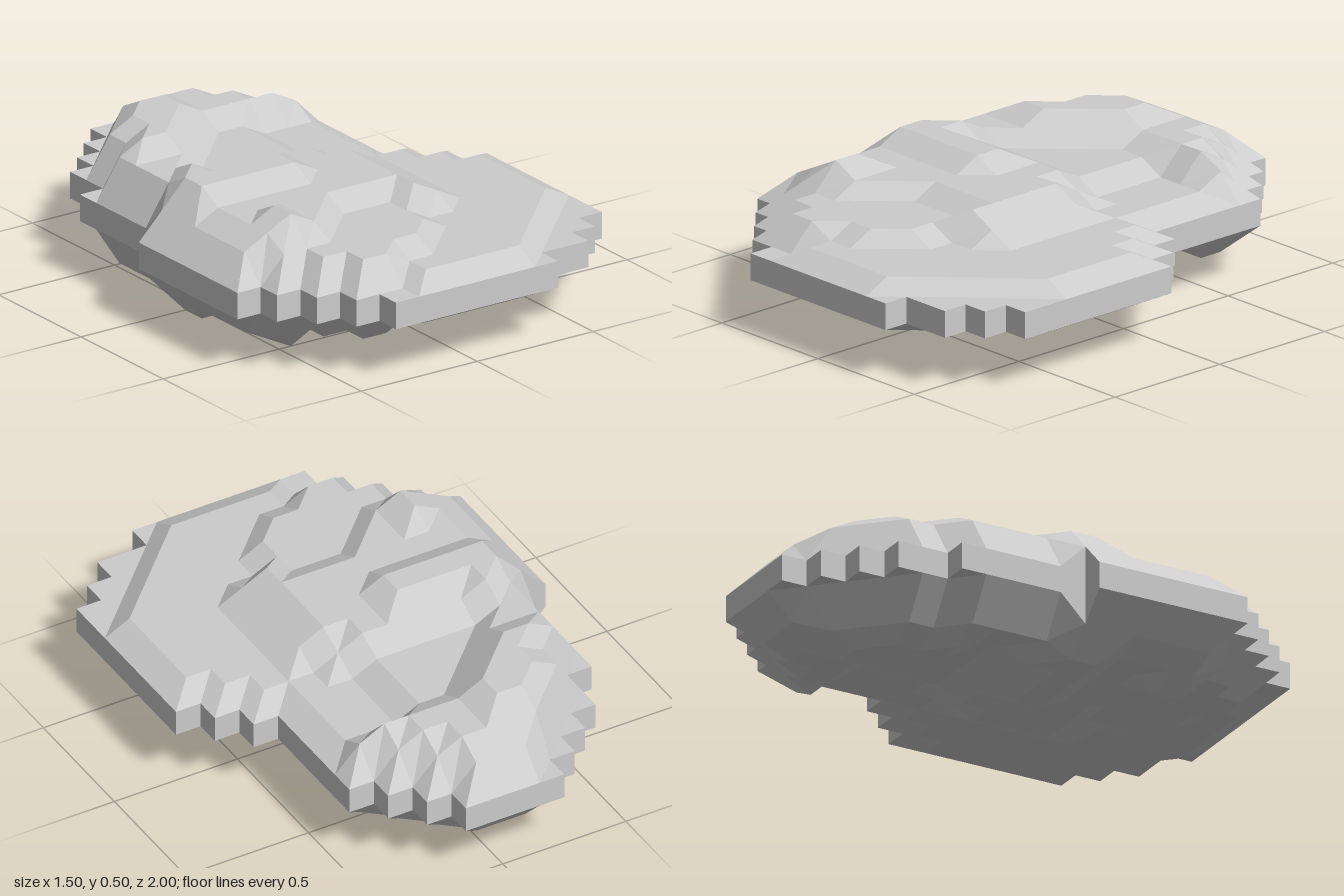
import * as THREE from 'three';

const CELL = 0.1, STEP = 0.05, MID = 0.25, RIM = 0.3;

// Plan outline: first and last grid line of each row of cells, back to front.
const OUTLINE = [
  [5, 9], [4, 10], [3, 11], [2, 12], [2, 12], [1, 12], [1, 12], [1, 12], [1, 13], [1, 14],
  [0, 15], [0, 15], [0, 15], [0, 15], [0, 15], [0, 15], [1, 15], [2, 14], [3, 13], [4, 11],
];

// Stacked terraces: each raises the surface one step over a span of grid points per row.
const TERRACES = [
  { row: 1, spans: [[6, 8], [5, 9], [4, 10], [3, 11], [3, 11], [2, 11], [2, 11], [2, 11], [2, 12], [1, 13],
    [1, 14], [1, 14], [1, 14], [1, 14], [1, 14], [2, 13], [3, 12], [4, 11], [6, 10]] },
  { row: 1, spans: [[6, 8], [5, 9], [4, 10], [3, 11], [3, 8], [2, 8], [2, 8], [2, 8], [2, 9], [1, 10],
    [1, 10], [1, 10], [1, 10], [1, 10], [1, 8], [2, 8], [3, 7], [4, 5]] },
  { row: 2, spans: [[5, 8], [4, 9], [3, 10], [3, 6], [2, 5], [2, 4], [2, 3], [2, 8], [2, 9], [2, 9],
    [2, 9], [2, 9], [2, 5], [2, 4]] },
  { row: 3, spans: [[5, 6], [4, 6], [4, 5], [3, 4]] },  // back summit
  { row: 9, spans: [[3, 3], [2, 6], [2, 6]] },          // middle summit
  { row: 14, spans: [[3, 3], [3, 3]] },                 // front summit
  { row: 14, spans: [[9, 9]] },                         // small spur
];

const inside = (i, j) => {
  const span = OUTLINE[j];
  return !!span && i >= span[0] && i < span[1];
};

function topHeight(i, j) {
  let level = 0;
  for (const { row, spans } of TERRACES) {
    const span = spans[j - row];
    if (span && i >= span[0] && i <= span[1]) level++;
  }
  return RIM + level * STEP;
}

// Grid point on the upper surface, or its mirror image on the lower one.
function point([i, j], lower = false) {
  const y = topHeight(i, j);
  return [-0.75 + i * CELL, lower ? 2 * MID - y : y, -1 + j * CELL];
}

function meshFrom(name, positions, material) {
  const geometry = new THREE.BufferGeometry();
  geometry.setAttribute('position', new THREE.Float32BufferAttribute(positions, 3));
  geometry.computeVertexNormals();
  const mesh = new THREE.Mesh(geometry, material);
  mesh.name = name;
  return mesh;
}

export function createModel() {
  const upper = [], lower = [], rim = [];
  const triangle = (a, b, c) => {
    upper.push(...point(a), ...point(b), ...point(c));
    lower.push(...point(a, true), ...point(c, true), ...point(b, true));
  };

  OUTLINE.forEach(([first, last], j) => {
    for (let i = first; i < last; i++) {
      const a = [i, j], b = [i, j + 1], c = [i + 1, j], d = [i + 1, j + 1];
      triangle(a, b, c);
      triangle(c, b, d);

      // Upright rim wherever the neighbouring cell is empty
      const sides = [[a, b, i - 1, j], [b, d, i, j + 1], [d, c, i + 1, j], [c, a, i, j - 1]];
      for (const [p, q, ni, nj] of sides) {
        if (inside(ni, nj)) continue;
        rim.push(...point(p, true), ...point(q, true), ...point(q));
        rim.push(...point(p, true), ...point(q), ...point(p));
      }
    }
  });

  const material = new THREE.MeshStandardMaterial({ color: 0xcccccc, flatShading: true });
  const group = new THREE.Group();
  group.name = 'terracedRock';
  group.add(
    meshFrom('upperSurface', upper, material),
    meshFrom('lowerSurface', lower, material),
    meshFrom('steppedRim', rim, material),
  );
  return group;
}
